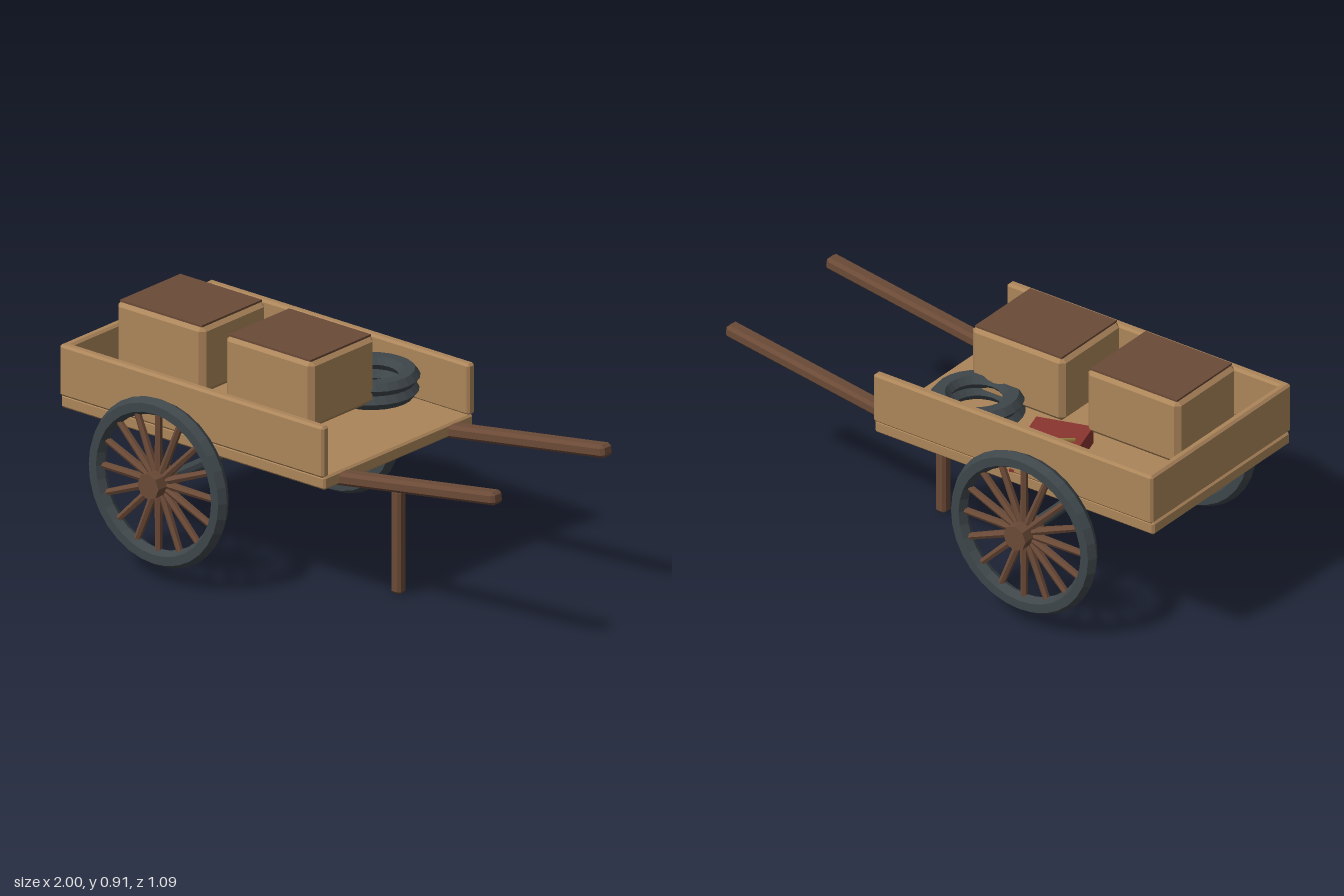
import * as THREE from 'three';
import { ConvexGeometry } from 'three/addons/geometries/ConvexGeometry.js';

const mat = (color) => new THREE.MeshStandardMaterial({ color, flatShading: true });
const WOOD = mat(0xac855a), BROWN = mat(0x6b4a37), IRON = mat(0x3e464a);
const RED = mat(0x8a352f), PAPER = mat(0xb5a88c), BRASS = mat(0x8f7a3c);

// Box with every edge cut at 45 degrees
function chamferBox(w, h, d, c) {
  const points = [];
  const a = w / 2, b = h / 2, e = d / 2;
  for (const x of [-1, 1]) for (const y of [-1, 1]) for (const z of [-1, 1]) {
    points.push(
      new THREE.Vector3(x * a, y * (b - c), z * (e - c)),
      new THREE.Vector3(x * (a - c), y * b, z * (e - c)),
      new THREE.Vector3(x * (a - c), y * (b - c), z * e));
  }
  return new ConvexGeometry(points);
}

function add(parent, name, geometry, material, x = 0, y = 0, z = 0) {
  const mesh = new THREE.Mesh(geometry, material);
  mesh.name = name;
  mesh.position.set(x, y, z);
  parent.add(mesh);
  return mesh;
}

// Spoked wheel standing in the XY plane
function makeWheel() {
  const wheel = new THREE.Group();
  add(wheel, 'tyre', new THREE.TorusGeometry(0.292, 0.034, 6, 32), IRON);
  add(wheel, 'hub', new THREE.CylinderGeometry(0.05, 0.05, 0.12, 8), BROWN).rotation.x = Math.PI / 2;
  const spokeGeometry = new THREE.CylinderGeometry(0.013, 0.016, 0.25, 6);
  for (let i = 0; i < 16; i++) {
    const angle = (i / 16) * Math.PI * 2;
    const spoke = add(wheel, 'spoke', spokeGeometry, BROWN, Math.cos(angle) * 0.155, Math.sin(angle) * 0.155, 0);
    spoke.rotation.z = angle - Math.PI / 2;
  }
  return wheel;
}

export function createModel() {
  const cart = new THREE.Group();
  cart.name = 'handcart';

  // Bed with three walls, open at the handle end
  add(cart, 'bed', chamferBox(1.26, 0.052, 0.83, 0.008), WOOD, -0.37, 0.547, 0);
  for (const side of [-1, 1]) {
    add(cart, 'sideWall', chamferBox(1.26, 0.2, 0.038, 0.009), WOOD, -0.37, 0.67, side * 0.406);
  }
  add(cart, 'endWall', chamferBox(0.035, 0.2, 0.83, 0.009), WOOD, -0.982, 0.67, 0);

  // Wheels and axle
  for (const side of [-1, 1]) {
    const wheel = makeWheel();
    wheel.name = side > 0 ? 'frontWheel' : 'backWheel';
    wheel.position.set(-0.47, 0.388, side * 0.486);
    cart.add(wheel);
  }
  add(cart, 'axle', new THREE.CylinderGeometry(0.023, 0.023, 0.88, 8), IRON, -0.47, 0.388, 0).rotation.x = Math.PI / 2;

  // Sloping pull handles and prop leg
  for (const side of [-1, 1]) {
    const handle = add(cart, 'handle', chamferBox(0.805, 0.05, 0.06, 0.012), BROWN, 0.598, 0.592, side * 0.305);
    handle.rotation.z = 0.15;
  }
  add(cart, 'propLeg', chamferBox(0.046, 0.405, 0.046, 0.01), BROWN, 0.257, 0.2025, 0);

  // Two lidded crates
  for (const x of [-0.69, -0.17]) {
    add(cart, 'crate', chamferBox(0.42, 0.265, 0.36, 0.02), WOOD, x, 0.7755, 0.05);
    add(cart, 'crateLid', new THREE.BoxGeometry(0.39, 0.008, 0.335), BROWN, x, 0.907, 0.05);
  }

  // Two stacked rings
  for (const [y, z] of [[0.645, -0.228], [0.695, -0.234]]) {
    const ring = add(cart, 'spareRing', new THREE.TorusGeometry(0.135, 0.04, 6, 24), IRON, -0.068, y, z);
    ring.rotation.x = Math.PI / 2;
    ring.scale.z = 0.75;
  }

  // Bound ledger lying flat, with a pen on its cover
  const ledger = new THREE.Group();
  ledger.name = 'ledger';
  ledger.position.set(-0.42, 0.61, -0.255);
  ledger.rotation.y = 0.3;
  add(ledger, 'pages', new THREE.BoxGeometry(0.205, 0.045, 0.285), PAPER);
  add(ledger, 'lowerCover', new THREE.BoxGeometry(0.22, 0.012, 0.3), RED, 0, -0.028, 0);
  add(ledger, 'upperCover', new THREE.BoxGeometry(0.22, 0.012, 0.3), RED, 0, 0.028, 0);
  add(ledger, 'spine', new THREE.BoxGeometry(0.012, 0.068, 0.3), RED, -0.104, 0, 0);
  cart.add(ledger);
  const pen = add(cart, 'pen', new THREE.BoxGeometry(0.21, 0.01, 0.012), BRASS, -0.405, 0.648, -0.265);
  pen.rotation.y = 0.65;

  return cart;
}
